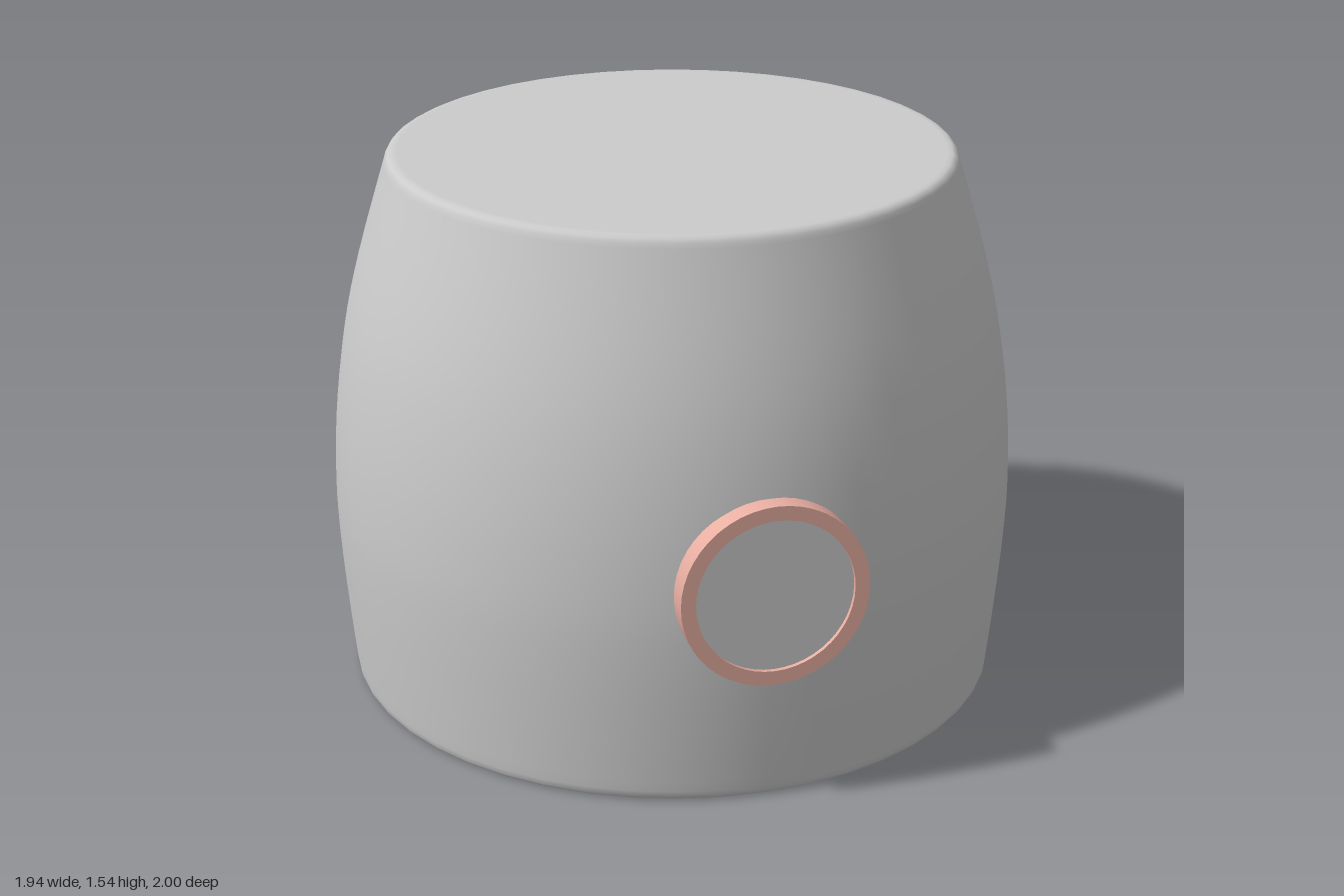
import * as THREE from 'three';
import { toCreasedNormals } from 'three/addons/utils/BufferGeometryUtils.js';

const profile = (pairs) => pairs.map(([r, y]) => new THREE.Vector2(r, y));

export function createModel() {
  const group = new THREE.Group();
  const grey = new THREE.MeshStandardMaterial({ color: 0xcccccc });
  const pink = new THREE.MeshStandardMaterial({ color: 0xe8aea2 });

  // Bulging barrel wall, sampled from a smooth curve
  const wall = new THREE.SplineCurve(profile([
    [0.932, 0.03], [0.948, 0.2], [0.963, 0.4], [0.968, 0.58],
    [0.957, 0.8], [0.928, 1.02], [0.88, 1.23], [0.797, 1.51],
  ])).getPoints(28);

  // Flat caps and small rounded rims close the barrel
  const outline = [
    ...profile([[0, 0], [0.9, 0], [0.912, 0], [0.922, 0.004], [0.929, 0.014]]),
    ...wall,
    ...profile([[0.793, 1.524], [0.786, 1.534], [0.775, 1.54], [0.76, 1.54], [0, 1.54]]),
  ];
  const body = new THREE.Mesh(new THREE.LatheGeometry(outline, 48), grey);
  body.name = 'body';
  group.add(body);

  // Porthole: a collar with a slightly recessed disc
  const collarGeometry = toCreasedNormals(new THREE.LatheGeometry(profile([
    [0.215, 0.88], [0.255, 0.88], [0.255, 1], [0.215, 1], [0.215, 0.88],
  ]), 48), 0.6).rotateX(Math.PI / 2);
  const discGeometry = new THREE.CircleGeometry(0.216, 48).translate(0, 0, 0.988);

  for (const [side, angle] of [['front', 0], ['back', Math.PI]]) {
    const porthole = new THREE.Group();
    porthole.name = side + 'Porthole';
    const collar = new THREE.Mesh(collarGeometry, pink);
    collar.name = side + 'Collar';
    const disc = new THREE.Mesh(discGeometry, grey);
    disc.name = side + 'Disc';
    porthole.add(collar, disc);
    porthole.position.y = 0.625;
    porthole.rotation.y = angle;
    group.add(porthole);
  }
  return group;
}
